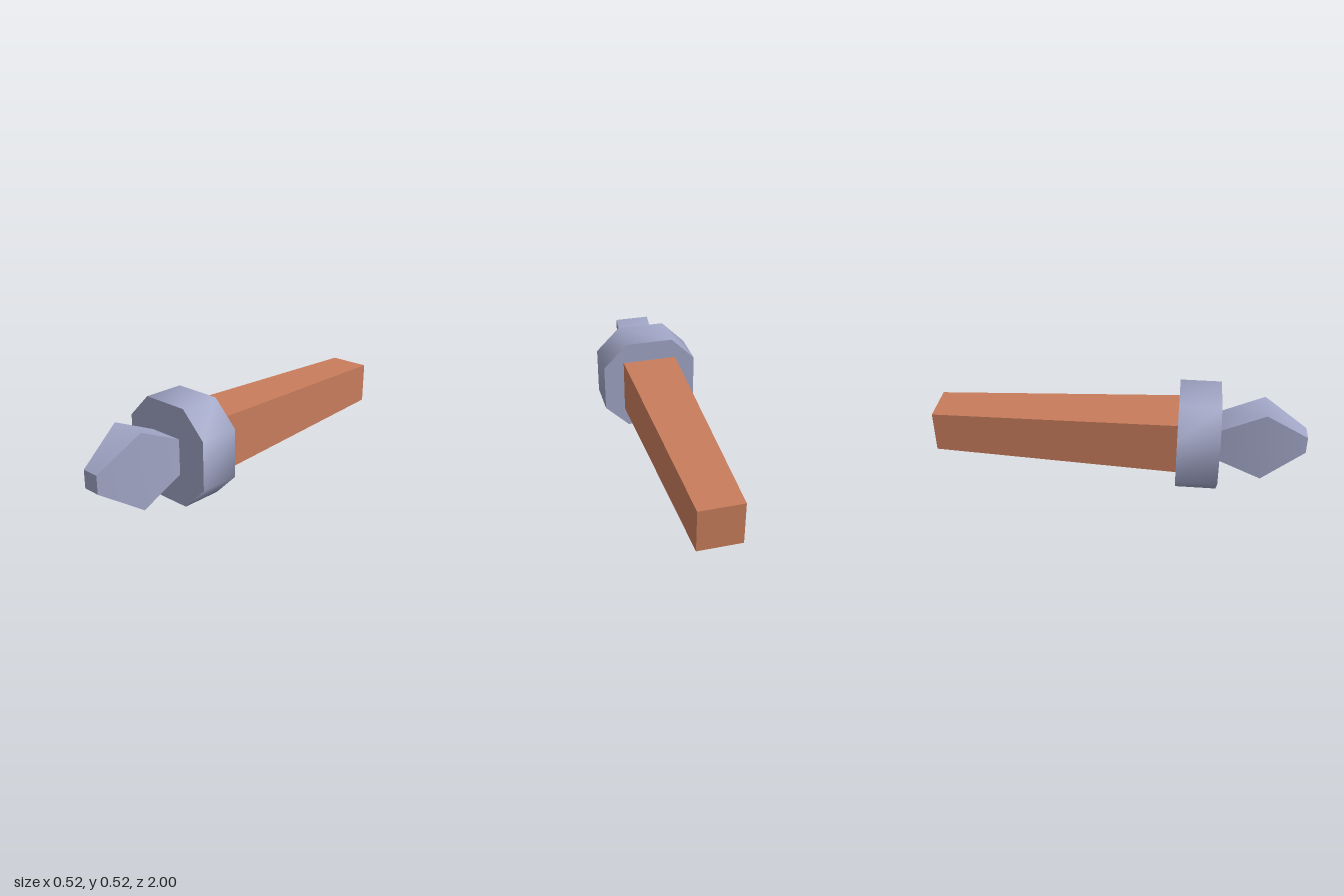
import * as THREE from 'three';
import { toCreasedNormals } from 'three/addons/utils/BufferGeometryUtils.js';

const CENTER_Y = 0.262;

// Rectangular loft along z. Sections are [z, halfWidth, halfHeight], back to front.
// Each side is its own strip: smooth along its length, sharp at the corners.
function loft(sections) {
  const positions = [];
  const index = [];
  const corners = ([z, w, h]) => [[w, -h, z], [w, h, z], [-w, h, z], [-w, -h, z]];
  const quad = (a, b, c, d) => index.push(a, b, c, a, c, d);
  for (let side = 0; side < 4; side++) {
    const start = positions.length / 3;
    sections.forEach((section, i) => {
      const ring = corners(section);
      positions.push(...ring[side], ...ring[(side + 1) % 4]);
      const n = start + i * 2;
      if (i > 0) quad(n - 2, n - 1, n + 1, n);
    });
  }
  // End caps
  const back = positions.length / 3;
  positions.push(...corners(sections[0]).reverse().flat());
  positions.push(...corners(sections[sections.length - 1]).flat());
  quad(back, back + 1, back + 2, back + 3);
  quad(back + 4, back + 5, back + 6, back + 7);

  const geometry = new THREE.BufferGeometry();
  geometry.setAttribute('position', new THREE.Float32BufferAttribute(positions, 3));
  geometry.setIndex(index);
  geometry.computeVertexNormals();
  return geometry;
}

export function createModel() {
  const model = new THREE.Group();
  model.name = 'taperedTool';

  const steel = new THREE.MeshStandardMaterial({ color: 0xa0a5c5 });
  steel.name = 'blueGreySteel';
  const wood = new THREE.MeshStandardMaterial({ color: 0xc87d5c });
  wood.name = 'reddishWood';

  const add = (name, geometry, material) => {
    const mesh = new THREE.Mesh(geometry, material);
    mesh.name = name;
    mesh.position.y = CENTER_Y;
    model.add(mesh);
    return mesh;
  };

  // Square handle, narrowing toward the back
  add('handle', loft([[-1, 0.113, 0.113], [0.315, 0.15, 0.15]]), wood);

  // Eight-sided collar: a square with cut corners
  const r = 0.262;
  const c = 0.13;
  const outline = new THREE.Shape(
    [[c, -r], [r, -c], [r, c], [c, r], [-c, r], [-r, c], [-r, -c], [-c, -r]]
      .map(([x, y]) => new THREE.Vector2(x, y))
  );
  const collar = new THREE.ExtrudeGeometry(outline, { depth: 0.22, bevelEnabled: false });
  add('collar', toCreasedNormals(collar, 0.9), steel).position.z = 0.315;

  // Tip that flares in height, then tapers to a small blunt end
  add('tip', loft([[0.535, 0.095, 0.095], [0.77, 0.095, 0.202], [1, 0.047, 0.048]]), steel);

  return model;
}
